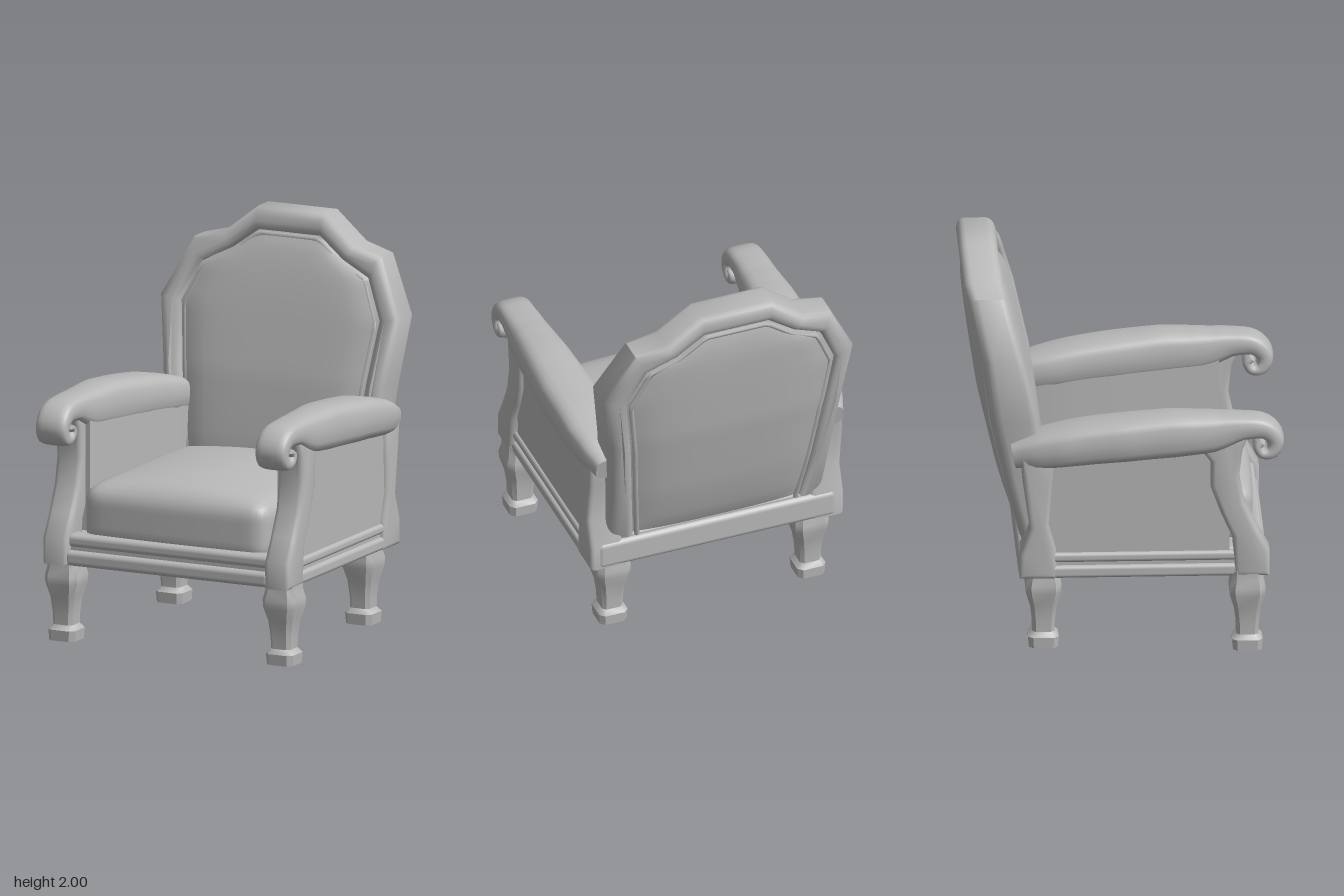
import * as THREE from 'three';
import { mergeVertices, toCreasedNormals } from 'three/addons/utils/BufferGeometryUtils.js';
import { RoundedBoxGeometry } from 'three/addons/geometries/RoundedBoxGeometry.js';

const V2 = (p) => new THREE.Vector2(p[0], p[1]);

// Piecewise linear lookup in [[key, value], ...] with rising keys
function lookup(table, k) {
  if (k <= table[0][0]) return table[0][1];
  for (let i = 1; i < table.length; i++) {
    const [a, va] = table[i - 1], [b, vb] = table[i];
    if (k <= b) return va + (vb - va) * (k - a) / (b - a);
  }
  return table[table.length - 1][1];
}

// Swap two corners of every triangle
function flip(geo) {
  for (const attr of Object.values(geo.attributes)) {
    for (let i = 0; i < attr.count; i += 3) {
      const b = [attr.getX(i + 1), attr.getY(i + 1), attr.getZ(i + 1)];
      attr.setXYZ(i + 1, attr.getX(i + 2), attr.getY(i + 2), attr.getZ(i + 2));
      attr.setXYZ(i + 2, ...b);
    }
  }
  return geo;
}

// Move vertices by a rule, face a closed solid outward, set creased normals
function shape(geo, rule = (v) => v, crease = 0.7) {
  geo.deleteAttribute('normal');
  geo.deleteAttribute('uv');
  geo.clearGroups();
  const p = geo.attributes.position, v = new THREE.Vector3();
  for (let i = 0; i < p.count; i++) {
    rule(v.fromBufferAttribute(p, i));
    p.setXYZ(i, v.x, v.y, v.z);
  }
  const solid = mergeVertices(geo, 1e-4).toNonIndexed(), q = solid.attributes.position;
  const a = new THREE.Vector3(), b = new THREE.Vector3(), c = new THREE.Vector3();
  let volume = 0;
  for (let i = 0; i < q.count; i += 3) {
    a.fromBufferAttribute(q, i); b.fromBufferAttribute(q, i + 1); c.fromBufferAttribute(q, i + 2);
    volume += a.dot(b.cross(c));
  }
  return toCreasedNormals(volume < 0 ? flip(solid) : solid, crease);
}

// Skin rings of equal point count, with closed ends
function loft(rings, crease) {
  const n = rings[0].length, pos = rings.flat(), idx = [];
  for (let r = 0; r < rings.length - 1; r++) {
    for (let i = 0; i < n; i++) {
      const a = r * n + i, b = r * n + (i + 1) % n;
      idx.push(a, b, b + n, a, b + n, a + n);
    }
  }
  const last = (rings.length - 1) * n;
  for (let i = 1; i < n - 1; i++) idx.push(0, i + 1, i, last, last + i, last + i + 1);
  const geo = new THREE.BufferGeometry().setFromPoints(pos);
  geo.setIndex(idx);
  return shape(geo, undefined, crease);
}

// Side profile in (z, y), extruded from x0 to x1 with rounded edges
function sideProfile(points, x0, x1, bevel = 0.025) {
  const geo = new THREE.ExtrudeGeometry(new THREE.Shape(points.map(V2)), {
    depth: x1 - x0 - 2 * bevel, bevelEnabled: true, bevelSize: bevel,
    bevelThickness: bevel, bevelOffset: -bevel, bevelSegments: 3,
  });
  return shape(geo, (v) => v.set(x0 + bevel + v.z, v.y, v.x));
}

// Rounded box between two corners
function rail(x0, x1, y0, y1, z0, z1, r) {
  return new RoundedBoxGeometry(x1 - x0, y1 - y0, z1 - z0, 3, r)
    .translate((x0 + x1) / 2, (y0 + y1) / 2, (z0 + z1) / 2);
}

// Front and back surfaces of the leaning backrest, t = 0 at the back
const backZ = [[0.45, -0.5], [0.85, -0.62], [1.24, -0.715], [1.73, -0.785], [2, -0.8]];
const frontZ = [[0.45, -0.36], [0.85, -0.385], [1.2, -0.43], [1.82, -0.58], [2, -0.61]];
function leanZ(x, y, t) {
  const c = Math.pow(Math.abs(x) / 0.66, 3);
  const b = lookup(backZ, y) + 0.07 * c, f = lookup(frontZ, y) + 0.02 * c;
  return b + (f - b) * t;
}

// Half outlines of the backrest, bottom to top
const outer = [[0.57, 0.45], [0.59, 0.85], [0.62, 1.2], [0.67, 1.53], [0.525, 1.82], [0.365, 1.86], [0.19, 2]];
const inner = [[0.44, 0.56], [0.475, 0.85], [0.51, 1.2], [0.55, 1.51], [0.46, 1.71], [0.31, 1.78], [0.17, 1.885]];
const bothSides = (half) => [...half, ...half.slice().reverse().map(([x, y]) => [-x, y])];

function backFrame() {
  const s = new THREE.Shape(bothSides(outer).map(V2));
  s.holes.push(new THREE.Path(bothSides(inner).map(V2)));
  const geo = new THREE.ExtrudeGeometry(s, {
    depth: 0.56, bevelEnabled: true, bevelThickness: 0.22, bevelSize: 0.045, bevelOffset: -0.045, bevelSegments: 4,
  });
  return shape(geo, (v) => { v.z = leanZ(v.x, v.y, v.z + 0.22); }, 0.8);
}

// Padded panel filling the frame; t is its depth, puff its swelling
function backPanel(t, puff) {
  const widths = inner.map(([x, y]) => [y, x + 0.01]);
  return shape(new THREE.BoxGeometry(2, 1, 1, 14, 28, 1), (v) => {
    const u = v.x, k = v.y + 0.5, y = 0.56 + 1.33 * k;
    const x = u * lookup(widths, y);
    const swell = Math.pow((1 - u ** 4) * (1 - (2 * k - 1) ** 4), 0.6);
    const outside = (v.z > 0) === (puff > 0);
    v.set(x, y, leanZ(x, y, outside ? t : 0.5) + (outside ? puff * swell : 0));
  }, 0.9);
}

// Cord following the panel edge
function piping(t) {
  const path = new THREE.CurvePath();
  const pts = bothSides(inner).map(([x, y]) => new THREE.Vector3(x * 0.965, y - 0.015, leanZ(x, y, t)));
  for (let i = 1; i < pts.length; i++) path.add(new THREE.LineCurve3(pts[i - 1], pts[i]));
  return new THREE.TubeGeometry(path, 90, 0.014, 6);
}

// Armrest swept from the back to the curled scroll: [z, y, half thickness]
const armPath = [[-0.545, 1.025, 0.065], [-0.4, 1.055, 0.092], [-0.2, 1.09, 0.105], [0, 1.113, 0.11], [0.25, 1.135, 0.113],
  [0.45, 1.145, 0.1], [0.6, 1.172, 0.064], [0.71, 1.163, 0.052], [0.762, 1.105, 0.042], [0.742, 1.047, 0.036],
  [0.695, 1.04, 0.029], [0.672, 1.075, 0.024], [0.695, 1.1, 0.018]];
const armOut = [[-0.55, 0.66], [-0.45, 0.695], [-0.3, 0.725], [0, 0.742], [0.3, 0.732], [0.5, 0.715], [0.78, 0.7]];
const armIn = [[-0.55, 0.46], [-0.3, 0.445], [0, 0.465], [0.4, 0.505], [0.6, 0.525], [0.78, 0.53]];
function armrest() {
  const curve = new THREE.CatmullRomCurve3(armPath.map(([z, y]) => new THREE.Vector3(0, y, z)));
  const steps = 48, rings = [];
  for (let i = 0; i <= steps; i++) {
    const k = i / steps, p = curve.getPoint(k), d = curve.getTangent(k);
    const h = lookup(armPath.map((a, j) => [j / (armPath.length - 1), a[2]]), k);
    const x0 = lookup(armIn, p.z), x1 = lookup(armOut, p.z), ring = [];
    for (let j = 0; j < 20; j++) {
      const a = j / 20 * Math.PI * 2, c = Math.cos(a), s = Math.sin(a);
      const w = Math.sign(c) * Math.abs(c) ** 0.6 * (x1 - x0) / 2, n = Math.sign(s) * Math.abs(s) ** 0.6 * h;
      ring.push(new THREE.Vector3((x0 + x1) / 2 + w, p.y + n * d.z, p.z - n * d.y));
    }
    rings.push(ring);
  }
  return loft(rings, 0.9);
}

// Chamfered square leg: [y, half width]
const legProfile = [[0, 0.072], [0.055, 0.076], [0.08, 0.055], [0.14, 0.057], [0.22, 0.067], [0.29, 0.088], [0.33, 0.09], [0.38, 0.078], [0.42, 0.078]];
function leg(x, z) {
  return loft(legProfile.map(([y, w]) => {
    const c = w * 0.68;
    return [[w, c], [c, w], [-c, w], [-w, c], [-w, -c], [-c, -w], [c, -w], [w, -c]]
      .map(([a, b]) => new THREE.Vector3(x + a, y, z + b));
  }), 0.6);
}

// Domed seat cushion with rounded edges
function seatCushion() {
  const half = new THREE.Vector3(0.515, 0.15, 0.55), r = 0.08;
  const core = half.clone().subScalar(r), low = core.clone().negate();
  return shape(new THREE.BoxGeometry(1.03, 0.3, 1.1, 24, 12, 26), (v) => {
    const c = v.clone().clamp(low, core), d = v.clone().sub(c);
    if (d.lengthSq() > 0) v.copy(c).addScaledVector(d.normalize(), r);
    const dome = (1 - (v.x / 0.515) ** 2) * (1 - Math.abs(v.z / 0.55) ** 4);
    if (v.y > 0) v.y += 0.07 * dome * v.y / 0.15;
    v.z += 0.015 * (1 - (v.x / 0.515) ** 2) * (v.z > 0 ? 1 : 0);
    v.y += 0.645;
    v.z += 0.1;
  }, 0.9);
}

export function createModel() {
  const chair = new THREE.Group();
  chair.name = 'armchair';
  const grey = new THREE.MeshStandardMaterial({ color: 0xb8b8b8 });
  grey.name = 'plain grey';
  const add = (name, geo) => {
    const mesh = new THREE.Mesh(geo, grey);
    mesh.name = name;
    chair.add(mesh);
  };
  const pair = (name, geo) => {
    const flat = geo.index ? geo.toNonIndexed() : geo;
    flat.deleteAttribute('uv');
    add(name + 'Left', flat);
    add(name + 'Right', flip(flat.clone().scale(-1, 1, 1)));
  };

  // Base with moulded rails
  add('base', rail(-0.655, 0.655, 0.395, 0.54, -0.505, 0.69, 0.02));
  add('frontRailLower', rail(-0.57, 0.57, 0.395, 0.472, 0.6, 0.722, 0.025));
  add('frontRailUpper', rail(-0.57, 0.57, 0.488, 0.553, 0.6, 0.705, 0.025));
  add('backRail', rail(-0.64, 0.64, 0.388, 0.54, -0.52, -0.4, 0.03));
  pair('sideRailLower', rail(0.55, 0.675, 0.392, 0.457, -0.42, 0.6, 0.02));
  pair('sideRailUpper', rail(0.55, 0.672, 0.474, 0.525, -0.42, 0.6, 0.02));

  // Legs
  pair('frontLeg', leg(0.61, 0.62));
  pair('backLeg', leg(0.53, -0.393));

  // Seat
  add('seatCushion', seatCushion());

  // Backrest
  add('backFrame', backFrame());
  add('backFrontPanel', backPanel(0.86, 0.055));
  add('backRearPanel', backPanel(0.13, -0.03));
  add('backFrontPiping', piping(0.88));
  add('backRearPiping', piping(0.12));

  // Arms: scrolled rest, curved posts and padded side
  pair('armrest', armrest());
  pair('frontPost', sideProfile([[0.73, 0.395], [0.73, 0.53], [0.665, 0.65], [0.605, 0.78], [0.578, 0.92], [0.595, 1.06],
    [0.635, 1.15], [0.5, 1.17], [0.36, 1.1], [0.435, 1.0], [0.435, 0.87], [0.49, 0.72], [0.545, 0.6], [0.56, 0.395]], 0.55, 0.692));
  pair('backPost', sideProfile([[-0.33, 0.39], [-0.335, 0.55], [-0.37, 0.68], [-0.355, 0.85], [-0.34, 1.03],
    [-0.51, 1.03], [-0.5, 0.9], [-0.465, 0.66], [-0.515, 0.52], [-0.515, 0.39]], 0.5, 0.68));
  pair('sidePanel', shape(new THREE.BoxGeometry(1, 0.62, 0.98, 2, 6, 8), (v) => {
    const z = v.z + 0.04, y = v.y + 0.8;
    const inside = lookup(armIn, z) + 0.008, outside = 0.655 + 0.02 * (y - 0.5);
    v.set(v.x < 0 ? inside : v.x > 0 ? outside : (inside + outside) / 2, y, z);
  }));
  return chair;
}
